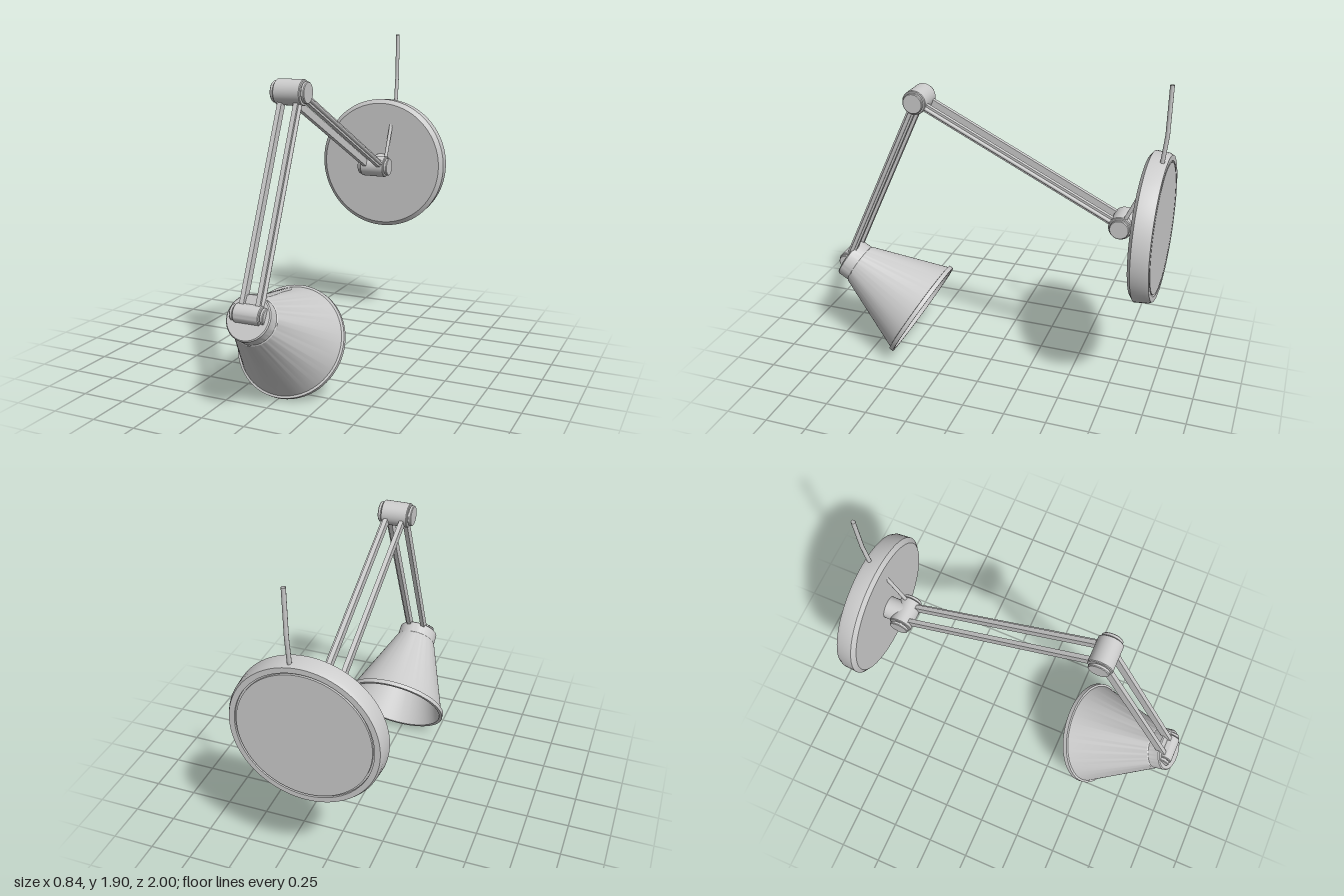
import * as THREE from 'three';
import { toCreasedNormals } from 'three/addons/utils/BufferGeometryUtils.js';

const grey = new THREE.MeshStandardMaterial({ color: 0xcccccc, side: THREE.DoubleSide });
const UP = new THREE.Vector3(0, 1, 0);
const vec = (x, y, z) => new THREE.Vector3(x, y, z);

function add(parent, name, geometry) {
  const mesh = new THREE.Mesh(geometry, grey);
  mesh.name = name;
  parent.add(mesh);
  return mesh;
}

// Lathe with sharp profile corners and a smooth round surface
function lathe(points, segments = 64) {
  const g = new THREE.LatheGeometry(points.map(([r, y]) => new THREE.Vector2(r, y)), segments);
  return toCreasedNormals(g, 0.4);
}

// Hinge barrel along x: wide body, thin groove and a smaller cap at each end
function addJoint(parent, name, centre, r, half) {
  const c = r * 0.84, b = half - 0.022;
  const side = [[r, b - 0.004], [r - 0.004, b], [c - 0.008, b], [c - 0.008, b + 0.005],
    [c, b + 0.005], [c, half - 0.004], [c - 0.004, half], [0, half]];
  const profile = [...side.map(([x, y]) => [x, -y]).reverse(), ...side];
  const joint = add(parent, name, lathe(profile, 40));
  joint.rotation.z = -Math.PI / 2;
  joint.position.copy(centre);
}

// Pair of flat bars between two hinges
function addArm(parent, name, from, to) {
  const arm = new THREE.Group();
  arm.name = name;
  const dir = to.clone().sub(from);
  for (const x of [-0.047, 0.047]) {
    const bar = add(arm, 'armBar', new THREE.BoxGeometry(0.025, dir.length(), 0.045));
    bar.position.x = x;
  }
  arm.position.copy(from).add(to).multiplyScalar(0.5);
  arm.quaternion.setFromUnitVectors(UP, dir.normalize());
  parent.add(arm);
}

// Cable running straight through a list of points
function cable(points, r) {
  const path = new THREE.CurvePath();
  for (let i = 1; i < points.length; i++) path.add(new THREE.LineCurve3(points[i - 1], points[i]));
  return new THREE.TubeGeometry(path, 120, r, 10, false);
}

export function createModel() {
  const lamp = new THREE.Group();
  lamp.name = 'wallLamp';

  const wall = vec(0, 1.068, -0.77);
  const elbow = vec(0, 1.652, 0.43);
  const head = vec(0, 0.575, 0.918);

  // Round wall plate with a bevelled rim and a shallow groove at the back
  const plate = add(lamp, 'wallPlate', lathe([[0, 0], [0.365, 0], [0.365, 0.012], [0.375, 0.012],
    [0.375, 0], [0.405, 0], [0.415, 0.02], [0.421, 0.095], [0.395, 0.115], [0, 0.115]], 80));
  plate.rotation.x = Math.PI / 2;
  plate.position.set(0, 1.068, -0.995);

  // Stub holding the first hinge on the plate
  const stub = add(lamp, 'wallStub', new THREE.CylinderGeometry(0.065, 0.065, 0.12, 40));
  stub.rotation.x = Math.PI / 2;
  stub.position.set(0, 1.068, -0.83);

  // Hinges and arms
  addJoint(lamp, 'wallJoint', wall, 0.066, 0.1);
  addJoint(lamp, 'elbowJoint', elbow, 0.07, 0.1);
  addJoint(lamp, 'headJoint', head, 0.052, 0.097);
  addArm(lamp, 'upperArm', wall, elbow);
  addArm(lamp, 'lowerArm', elbow, head);

  // Hollow shade: collar, cone and rolled rim, with a closed inner end
  const shade = add(lamp, 'lampShade', lathe([[0, 0], [0.119, 0], [0.125, 0.006], [0.125, 0.075],
    [0.13, 0.08], [0.305, 0.538], [0.318, 0.54], [0.318, 0.566], [0.298, 0.566],
    [0.118, 0.085], [0, 0.085]], 80));
  shade.position.set(0, 0.565, 0.936);
  shade.quaternion.setFromUnitVectors(UP, vec(0, -0.513, -0.859).normalize());

  // Cable along the arms, into the plate and up the wall
  const at = (p) => vec(0.064, p.y, p.z);
  add(lamp, 'armCable', cable([at(head), at(elbow), at(wall), vec(0.064, 1.33, -0.89)], 0.011));
  add(lamp, 'wallCable', cable([vec(0.064, 1.44, -0.965), vec(0.064, 1.63, -0.985),
    vec(0.064, 1.9, -0.988)], 0.012));

  return lamp;
}
